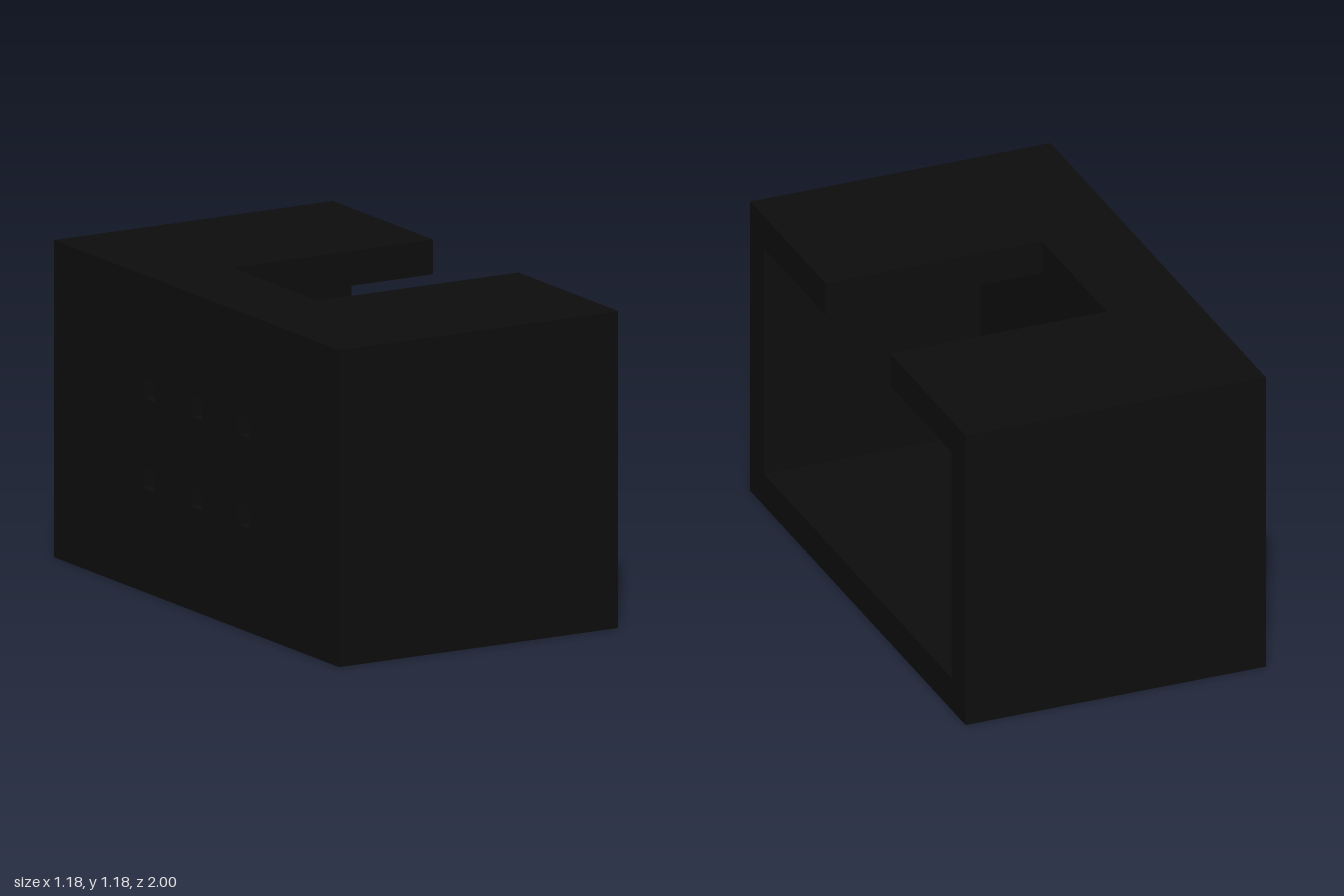
import * as THREE from 'three';

const L = 1, H = 1.18, W = 0.59;   // half length, height, half width
const WALL = 0.13;                 // shell thickness
const BACK = -0.26;                // inner face of the thick wall
const SLOT = 0.3;                  // half width of the slot in the roof

const material = new THREE.MeshStandardMaterial({ color: 0x0d0d0d });

// Extrude a profile drawn in (z, y) along x, from x0 to x1
function extrudeX(name, shape, x0, x1) {
  const geometry = new THREE.ExtrudeGeometry(shape, { depth: x1 - x0, bevelEnabled: false });
  geometry.rotateY(Math.PI / 2);
  geometry.translate(x0, 0, 0);
  const mesh = new THREE.Mesh(geometry, material);
  mesh.name = name;
  return mesh;
}

const polygon = (points) => new THREE.Shape(points.map(([a, b]) => new THREE.Vector2(a, b)));

export function createModel() {
  const group = new THREE.Group();
  group.name = 'slottedBox';

  // Thick wall with a grid of square through-holes
  const wall = polygon([[-L, 0], [L, 0], [L, H], [-L, H]]);
  const r = 0.039;
  for (const z of [-0.333, 0, 0.333]) {
    for (const y of [0.425, 0.76]) {
      wall.holes.push(new THREE.Path([
        new THREE.Vector2(z - r, y - r), new THREE.Vector2(z - r, y + r),
        new THREE.Vector2(z + r, y + r), new THREE.Vector2(z + r, y - r),
      ]));
    }
  }
  group.add(extrudeX('perforatedWall', wall, -W, BACK));

  // Floor, end walls and the two roof flaps either side of the slot
  const i = L - WALL, roof = H - WALL;
  const shell = polygon([
    [-L, 0], [L, 0], [L, H], [SLOT, H], [SLOT, roof], [i, roof],
    [i, WALL], [-i, WALL], [-i, roof], [-SLOT, roof], [-SLOT, H], [-L, H],
  ]);
  group.add(extrudeX('openShell', shell, BACK, W));

  return group;
}
